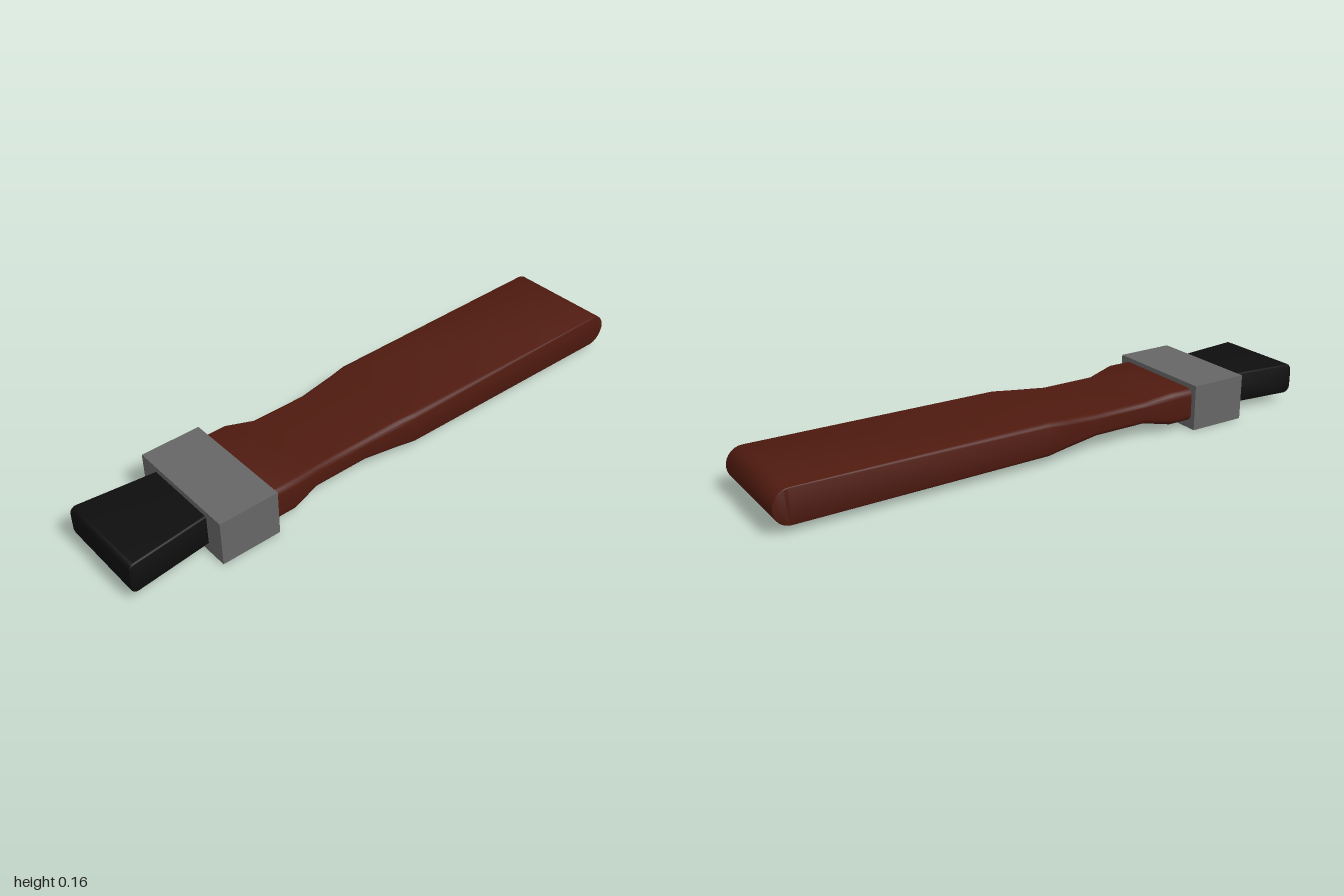
import * as THREE from 'three';
import { toCreasedNormals } from 'three/addons/utils/BufferGeometryUtils.js';

const CORNER_STEPS = 5;
const MID_Y = 0.085;

// Rounded-rectangle ring, counter-clockwise seen from +z
function ring([z, halfW, halfH, r]) {
  const points = [];
  for (let corner = 0; corner < 4; corner++) {
    const sx = corner === 0 || corner === 3 ? 1 : -1;
    const sy = corner < 2 ? 1 : -1;
    for (let i = 0; i <= CORNER_STEPS; i++) {
      const a = (corner + i / CORNER_STEPS) * Math.PI / 2;
      points.push([
        sx * (halfW - r) + Math.cos(a) * r,
        MID_Y + sy * (halfH - r) + Math.sin(a) * r,
        z,
      ]);
    }
  }
  return points;
}

// Closed loft through sections [z, halfWidth, halfHeight, cornerRadius], z ascending
function loft(sections) {
  const rings = sections.map(ring);
  const n = rings[0].length;
  const pos = [];
  const tri = (a, b, c) => pos.push(...a, ...b, ...c);
  for (let s = 0; s < rings.length - 1; s++) {
    for (let j = 0; j < n; j++) {
      const k = (j + 1) % n;
      const [a, b, c, d] = [rings[s][j], rings[s][k], rings[s + 1][k], rings[s + 1][j]];
      tri(a, b, c);
      tri(a, c, d);
    }
  }
  const first = rings[0], last = rings[rings.length - 1];
  const backCentre = [0, MID_Y, first[0][2]], frontCentre = [0, MID_Y, last[0][2]];
  for (let j = 0; j < n; j++) {
    const k = (j + 1) % n;
    tri(backCentre, first[k], first[j]);
    tri(frontCentre, last[j], last[k]);
  }
  const g = new THREE.BufferGeometry();
  g.setAttribute('position', new THREE.Float32BufferAttribute(pos, 3));
  return toCreasedNormals(g, 0.6);
}

function part(name, geometry, color) {
  const mesh = new THREE.Mesh(geometry, new THREE.MeshStandardMaterial({ color }));
  mesh.name = name;
  return mesh;
}

export function createModel() {
  const group = new THREE.Group();
  group.name = 'flatBrush';

  // Handle: half-round butt end, then the long grip, waist and shoulder
  const sections = [];
  const buttLength = 0.055, gripH = 0.059;
  for (let i = 0; i <= 8; i++) {
    const a = (0.03 + 0.97 * i / 8) * Math.PI / 2;
    const h = gripH * Math.sin(a);
    sections.push([-1 + buttLength * (1 - Math.cos(a)), 0.187, h, Math.min(0.004, h * 0.5)]);
  }
  sections.push(
    [-0.07, 0.187, gripH, 0.022],
    [0.0, 0.178, 0.052, 0.021],
    [0.13, 0.165, 0.039, 0.018],
    [0.33, 0.165, 0.039, 0.018],
    [0.43, 0.187, gripH, 0.025],
    [0.53, 0.187, gripH, 0.025],
  );
  group.add(part('handle', loft(sections), 0x4f1a0f));

  // Ferrule: plain metal block
  const ferrule = part('ferrule', new THREE.BoxGeometry(0.412, 0.16, 0.21), 0x666666);
  ferrule.position.set(0, 0.08, 0.615);
  group.add(ferrule);

  // Bristles: flaring block with softened top and bottom edges at the tip
  const tip = [[0.7, 0.133, 0.055, 0.008]];
  for (let i = 0; i <= 4; i++) {
    const a = i / 4 * Math.PI / 2;
    tip.push([0.98 + 0.02 * Math.sin(a), 0.163, 0.037 + 0.018 * Math.cos(a), 0.008]);
  }
  group.add(part('bristles', loft(tip), 0x0e0e0e));

  return group;
}
